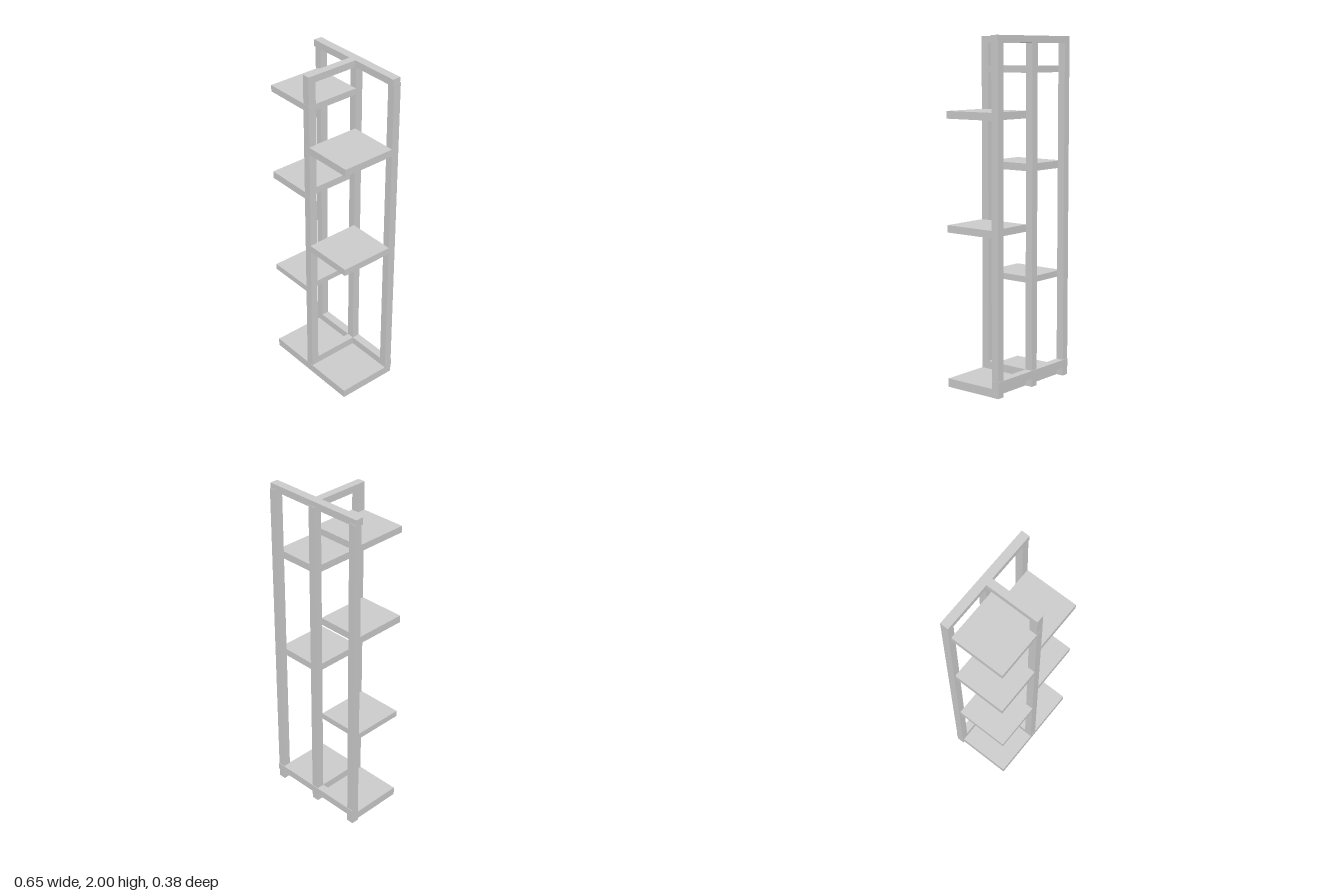
import * as THREE from 'three';

const material = new THREE.MeshStandardMaterial({ color: 0xcccccc, flatShading: true });

export function createModel() {
  const model = new THREE.Group();
  model.name = 'shelvingUnit';

  // Adds a box spanning [min, max] on each axis
  const addBox = (name, [x0, x1], [y0, y1], [z0, z1]) => {
    const mesh = new THREE.Mesh(new THREE.BoxGeometry(x1 - x0, y1 - y0, z1 - z0), material);
    mesh.position.set((x0 + x1) / 2, (y0 + y1) / 2, (z0 + z1) / 2);
    mesh.name = name;
    model.add(mesh);
  };

  const middle = [-0.025, 0.021];
  const shelfDepth = [-0.139, 0.188];

  // Three uprights at the back, one at the front
  const backPosts = { rightBackPost: [-0.321, -0.277], middleBackPost: middle, leftBackPost: [0.275, 0.321] };
  for (const [name, x] of Object.entries(backPosts)) addBox(name, x, [0, 1.97], [-0.185, -0.139]);
  addBox('frontPost', middle, [0.05, 1.962], [0.14, 0.187]);

  // Top T-shaped frame
  addBox('topBackRail', [-0.324, 0.319], [1.96, 2], [-0.182, -0.132]);
  addBox('topArm', middle, [1.96, 2], [-0.132, 0.187]);

  // Bottom T-shaped frame and base board
  addBox('bottomBackRail', [-0.321, 0.322], [0.05, 0.096], [-0.188, -0.139]);
  addBox('bottomArm', middle, [0.05, 0.096], [-0.139, 0.14]);
  addBox('baseBoard', [-0.311, 0.321], [0, 0.05], shelfDepth);

  // Staggered shelves on either side of the front post
  const rightShelves = [[0.595, 0.631], [1.24, 1.283]];
  for (const y of rightShelves) addBox('rightShelf', [-0.311, -0.022], y, shelfDepth);
  addBox('topRightShelf', [-0.303, 0.022], [1.795, 1.833], shelfDepth);
  const leftShelves = [[0.9, 0.942], [1.542, 1.585]];
  for (const y of leftShelves) addBox('leftShelf', [0.018, 0.321], y, shelfDepth);

  return model;
}
